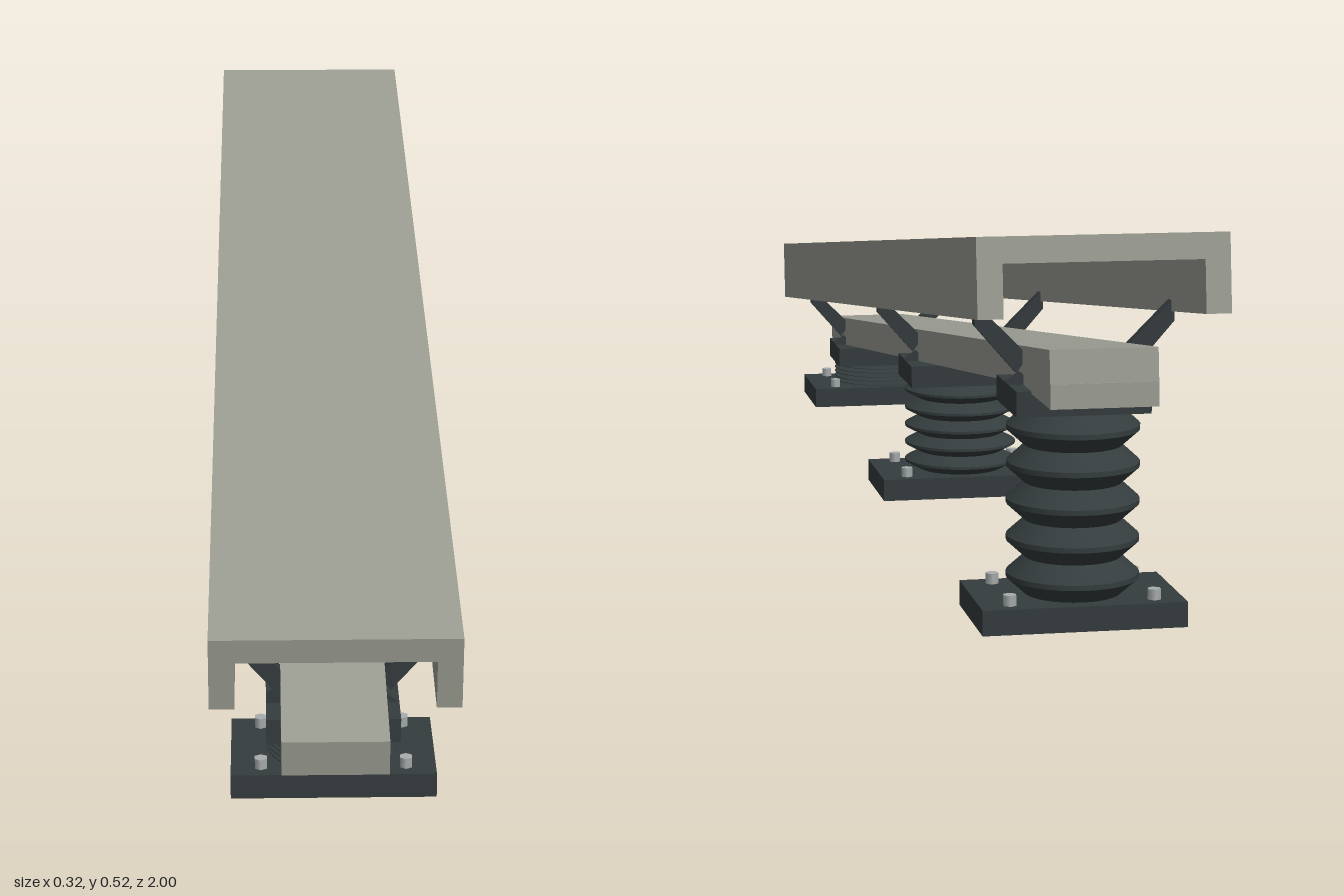
import * as THREE from 'three';
import { toCreasedNormals } from 'three/addons/utils/BufferGeometryUtils.js';

const SLOPE = 0.125;

function material(name, color) {
  const m = new THREE.MeshStandardMaterial({ color });
  m.name = name;
  return m;
}

function add(parent, name, geometry, mat, x = 0, y = 0, z = 0) {
  const mesh = new THREE.Mesh(geometry, mat);
  mesh.name = name;
  mesh.position.set(x, y, z);
  parent.add(mesh);
  return mesh;
}

// Prism from an x-y outline, centred along z
function prism(points, depth) {
  const shape = new THREE.Shape(points.map(([x, y]) => new THREE.Vector2(x, y)));
  return new THREE.ExtrudeGeometry(shape, { depth, bevelEnabled: false }).translate(0, 0, -depth / 2);
}

// Ribbed insulator body with pointed ridges
function bellows(y0, y1, ridges) {
  const inner = 0.063, outer = 0.086;
  const step = (y1 - y0) / ridges;
  const pts = [new THREE.Vector2(inner, y0)];
  for (let i = 0; i < ridges; i++) {
    const y = y0 + i * step;
    pts.push(new THREE.Vector2(outer, y + step * 0.43));
    pts.push(new THREE.Vector2(outer, y + step * 0.57));
    pts.push(new THREE.Vector2(inner, y + step));
  }
  return toCreasedNormals(new THREE.LatheGeometry(pts, 32), 0.5);
}

export function createModel() {
  const model = new THREE.Group();
  model.name = 'coveredRail';
  const grey = material('warmGrey', 0x9c9e94);
  const dark = material('darkSlate', 0x343c3d);
  const steel = material('boltSteel', 0xa8adad);

  // Sloping cover: top plate with a skirt down each side
  const w = 0.158, i = 0.126;
  const cover = add(model, 'cover', prism([
    [-w, 0], [-w, -0.1], [-i, -0.1], [-i, -0.033],
    [i, -0.033], [i, -0.1], [w, -0.1], [w, 0],
  ], 2.0035), grey, 0, 0.392, 0.006);
  cover.rotation.x = SLOPE;

  // Rail under the cover, and the level block at its high end
  const rail = add(model, 'rail',
    new THREE.BoxGeometry(0.136, 0.049, 2.008).translate(0, -0.0245, 0), grey, 0, 0.2525, 0.003);
  rail.rotation.x = SLOPE;
  add(model, 'railEndBlock', new THREE.BoxGeometry(0.136, 0.031, 0.17), grey, 0, 0.3205, -0.915);

  // Three supports of growing height
  for (const [z, top] of [[0.82, 0.103], [0, 0.205], [-0.82, 0.308]]) {
    const support = new THREE.Group();
    support.name = 'support';
    support.position.z = z;
    model.add(support);

    add(support, 'basePlate', new THREE.BoxGeometry(0.266, 0.033, 0.166), dark, 0, 0.0165, 0);
    add(support, 'bellows', bellows(0.033, top - 0.033, 5), dark);
    add(support, 'topPlate', new THREE.BoxGeometry(0.174, 0.033, 0.132), dark, 0, top - 0.0165, 0);
    add(support, 'railSeat', prism([[-0.087, 0], [0.087, 0], [0.068, 0.013], [-0.068, 0.013]], 0.03),
      dark, 0, top, 0);

    for (const s of [-1, 1]) {
      // Diagonal arm from the rail to the skirt
      const outline = [[0.06, 0.036], [0.076, 0.014], [0.13, 0.076], [0.13, 0.106]]
        .map(([x, y]) => [s * x, y]);
      add(support, 'coverArm', prism(outline, 0.017), dark, 0, top, 0);

      // Base bolts
      for (const t of [-1, 1]) {
        add(support, 'bolt', new THREE.CylinderGeometry(0.009, 0.009, 0.014, 6).toNonIndexed(),
          steel, s * 0.094, 0.04, t * 0.06);
      }
    }
  }
  return model;
}
